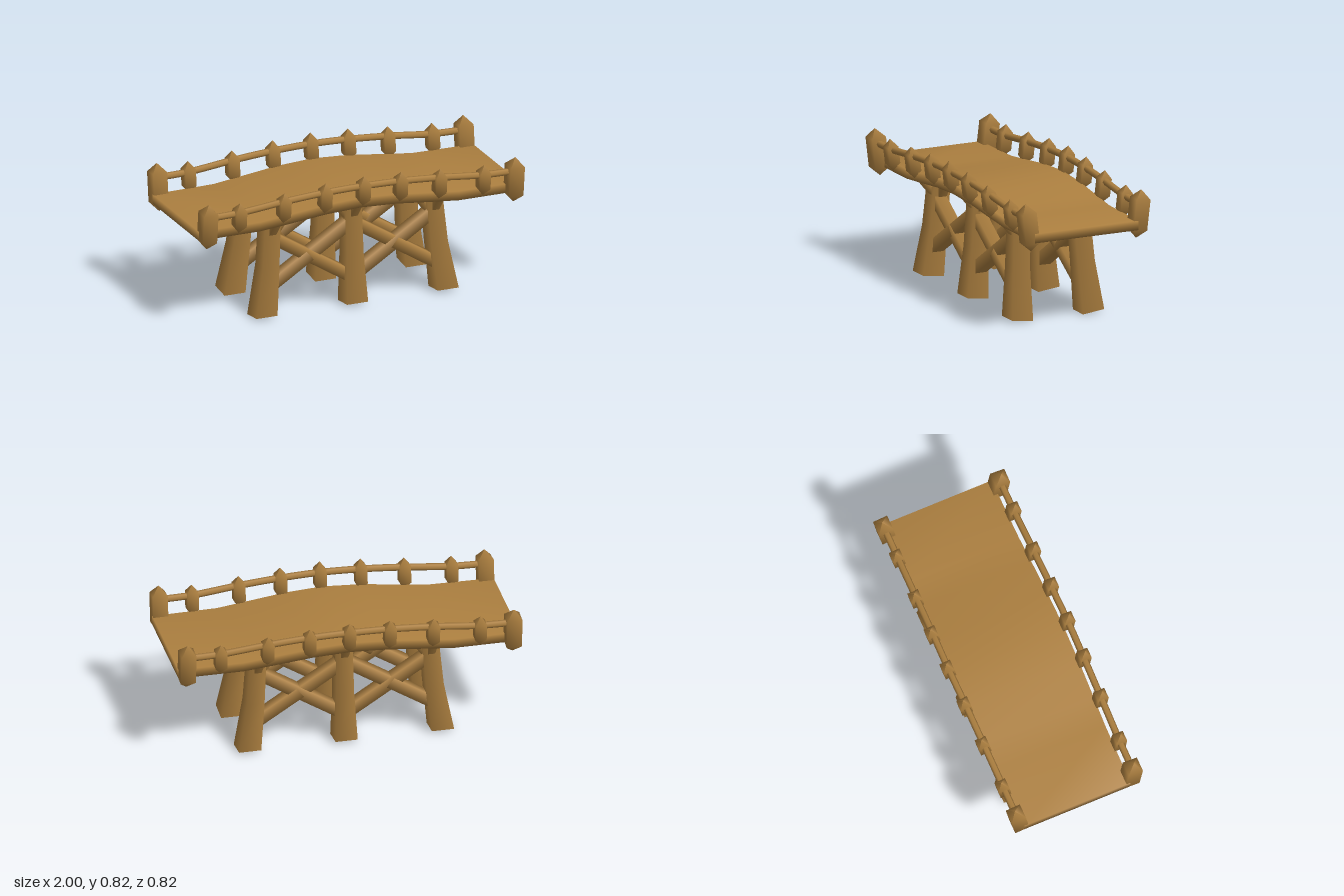
import * as THREE from 'three';

const wood = new THREE.MeshStandardMaterial({ color: 0xad8040 });
wood.name = 'brown wood';

export function createModel() {
  const model = new THREE.Group();
  model.name = 'footbridge';

  const add = (name, geometry) => {
    const mesh = new THREE.Mesh(geometry, wood);
    mesh.name = name;
    model.add(mesh);
    return mesh;
  };

  // Four-sided bar of a given thickness, square to the axes
  const bar = (thickness, length, rows = 1) =>
    new THREE.CylinderGeometry(thickness / Math.SQRT2, thickness / Math.SQRT2, length, 4, rows)
      .rotateY(Math.PI / 4);

  // Straight timber between two points
  const beam = (name, from, to, thickness) => {
    const a = new THREE.Vector3(...from), b = new THREE.Vector3(...to);
    const dir = b.clone().sub(a);
    const mesh = add(name, bar(thickness, dir.length()));
    mesh.position.copy(a).add(b).multiplyScalar(0.5);
    mesh.quaternion.setFromUnitVectors(new THREE.Vector3(0, 1, 0), dir.normalize());
    return mesh;
  };

  // Arched deck: [x, bottom, top, half width] for each cross-section
  const half = [[0, 0.622, 0.68, 0.347], [0.22, 0.611, 0.668, 0.345],
    [0.45, 0.585, 0.641, 0.34], [0.62, 0.567, 0.622, 0.335], [1, 0.565, 0.62, 0.33]];
  const stations = [...half.slice(1).reverse().map(([x, ...rest]) => [-x, ...rest]), ...half];
  const pos = [], index = [];
  stations.forEach(([x, low, high, w], i) => {
    pos.push(x, low, -w, x, low, w, x, high, w, x, high, -w);
    if (i === 0) return;
    for (let k = 0; k < 4; k++) {
      const a = (i - 1) * 4 + k, b = (i - 1) * 4 + (k + 1) % 4;
      index.push(a, a + 4, b, b, a + 4, b + 4);
    }
  });
  const last = (stations.length - 1) * 4;
  index.push(0, 1, 2, 0, 2, 3, last, last + 2, last + 1, last, last + 3, last + 2);
  const deck = new THREE.BufferGeometry();
  deck.setAttribute('position', new THREE.Float32BufferAttribute(pos, 3));
  deck.setIndex(index);
  deck.computeVertexNormals();
  add('deck', deck);

  // Square post with pointed ends, leaning outwards
  const post = (name, x, y, z, width, height, tip) => {
    const r = width / Math.SQRT2, h = height / 2;
    const profile = [[0, -h], [r, -h + tip], [r, h - tip], [0, h]]
      .map(([px, py]) => new THREE.Vector2(px, py));
    const mesh = add(name, new THREE.LatheGeometry(profile, 4).rotateY(Math.PI / 4));
    mesh.position.set(x, y, z);
    mesh.rotation.x = Math.sign(z) * 0.12;
  };

  // Legs splay and thicken towards the foot: [outward x, z, width, depth] from foot to top
  const legRows = [[0.062, 0.227, 0.13, 0.135], [0.022, 0.207, 0.104, 0.108], [0, 0.188, 0.094, 0.105]];
  const leg = (sx, sz) => {
    const top = sx ? 0.6 : 0.635;
    const g = bar(1, 2, 2);
    const p = g.attributes.position;
    for (let i = 0; i < p.count; i++) {
      const row = Math.round(p.getY(i) + 1);
      const [out, z, w, d] = legRows[row];
      const foot = row === 0 ? (p.getZ(i) * sz > 0 ? 0.018 : 0.002) : 0;
      p.setXYZ(i, 0.006 + sx * (0.503 + out) + p.getX(i) * w,
        row === 0 ? foot : row === 1 ? 0.3 : top,
        sz * z + p.getZ(i) * d);
    }
    add('leg', g);
  };

  for (const s of [-1, 1]) {
    for (const sx of [-1, 0, 1]) {
      leg(sx, s);
      // Knee braces under the deck
      const x = 0.006 + sx * 0.508, top = sx ? 0.59 : 0.63;
      beam('kneeBrace', [x, top - 0.12, s * 0.2], [x, top - 0.005, s * 0.295], 0.042);
      for (const dir of sx ? [-sx] : [-1, 1])
        beam('kneeBrace', [x + dir * 0.02, top - 0.11, s * 0.19],
          [x + dir * 0.105, top + 0.01, s * 0.19], 0.05);
    }

    // Crossed braces between the legs
    for (const sx of [-1, 1]) {
      beam('crossBrace', [sx * 0.52, 0.17, s * 0.205], [sx * 0.01, 0.49, s * 0.2], 0.07);
      beam('crossBrace', [sx * 0.51, 0.48, s * 0.2], [sx * 0.01, 0.165, s * 0.205], 0.07);
    }

    // Handrail following the arch
    const rail = [-0.95, -0.76, -0.485, -0.23, 0, 0.23, 0.485, 0.76, 0.95].map((x) => {
      const rise = Math.max(0, 1 - Math.abs(x) / 0.8);
      return new THREE.Vector3(x, 0.705 + 0.055 * Math.sin(rise * Math.PI / 2), s * (0.36 + 0.01 * rise));
    });
    add('handrail', new THREE.TubeGeometry(new THREE.CatmullRomCurve3(rail), 24, 0.02, 6));

    // Railing posts and larger end posts
    for (const [x, y] of [[-0.76, 0.678], [-0.485, 0.698], [-0.23, 0.72], [0.008, 0.73],
      [0.24, 0.72], [0.485, 0.698], [0.76, 0.678]])
      post('railPost', x, y, s * (0.36 + (y - 0.678) * 0.2), 0.066, 0.19, 0.045);
    for (const sx of [-1, 1]) post('endPost', sx * 0.955, 0.65, s * 0.353, 0.088, 0.284, 0.052);
  }
  return model;
}
